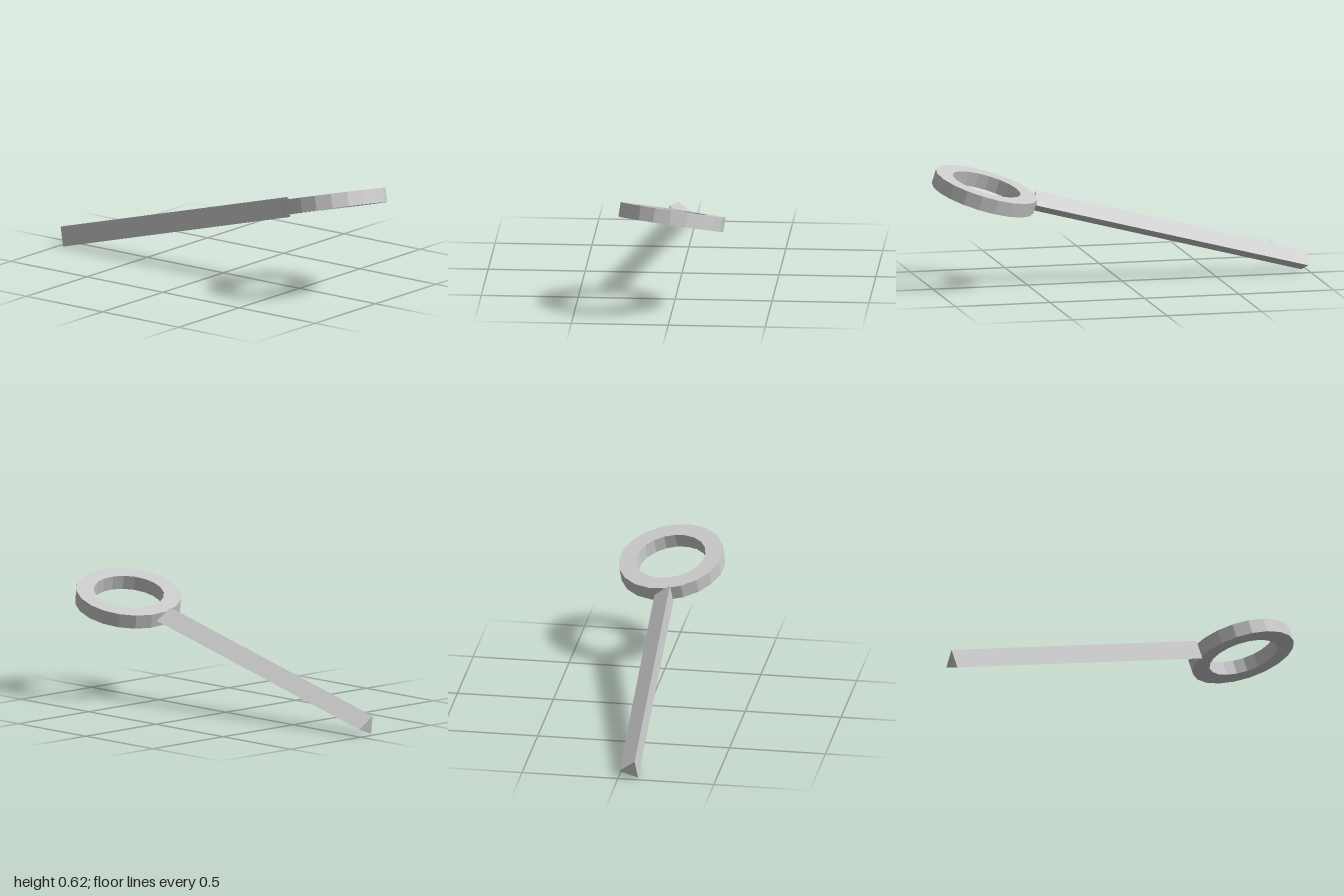
import * as THREE from 'three';

const BAR_LENGTH = 1.5, RING_RADIUS = 0.273, HOLE_RADIUS = 0.182, RING_HEIGHT = 0.075;

// Corners of a regular polygon
function polygon(radius, sides) {
  return Array.from({ length: sides }, (_, i) => {
    const a = (i / sides) * Math.PI * 2;
    return new THREE.Vector2(radius * Math.cos(a), radius * Math.sin(a));
  });
}

export function createModel() {
  const grey = new THREE.MeshStandardMaterial({ color: 0xcccccc, flatShading: true });
  grey.name = 'light grey';

  const model = new THREE.Group();
  model.name = 'ringOnBar';

  // Faceted ring, lying flat around the local origin
  const outline = new THREE.Shape(polygon(RING_RADIUS, 20));
  outline.holes.push(new THREE.Path(polygon(HOLE_RADIUS, 20)));
  const ringGeometry = new THREE.ExtrudeGeometry(outline, { depth: RING_HEIGHT, bevelEnabled: false });
  ringGeometry.translate(0, 0, -RING_HEIGHT / 2).rotateX(-Math.PI / 2);
  const ring = new THREE.Mesh(ringGeometry, grey);
  ring.name = 'ring';

  // Three-sided bar running back from the rim, one edge pointing to +x
  const barGeometry = new THREE.CylinderGeometry(0.06, 0.06, BAR_LENGTH, 3, 1, false, Math.PI / 2);
  barGeometry.rotateX(Math.PI / 2);
  const bar = new THREE.Mesh(barGeometry, grey);
  bar.name = 'bar';
  bar.position.set(-0.002, 0, -RING_RADIUS - BAR_LENGTH / 2);

  // Tilt the whole piece so the bar's far end rests on the ground
  const tilted = new THREE.Group();
  tilted.name = 'tiltedPiece';
  tilted.add(ring, bar);
  const along = new THREE.Vector3(0.035, 0.257, 0.966).normalize();
  const across = new THREE.Vector3(0.991, -0.134, 0);
  across.addScaledVector(along, -across.dot(along)).normalize();
  const up = new THREE.Vector3().crossVectors(along, across);
  tilted.quaternion.setFromRotationMatrix(new THREE.Matrix4().makeBasis(across, up, along));
  tilted.position.set(0, 0.502, 0.726);

  model.add(tilted);
  return model;
}
